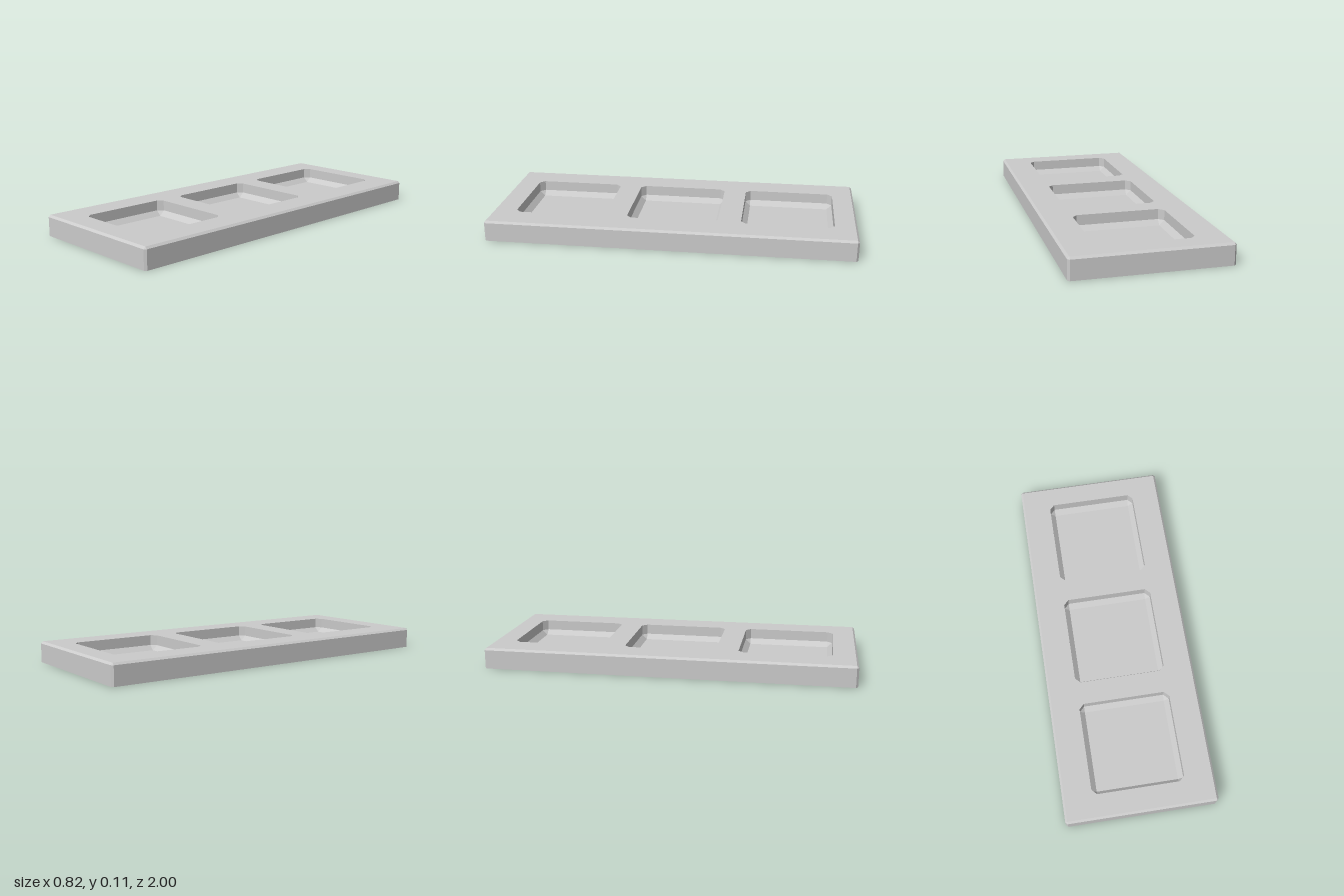
import * as THREE from 'three';

const material = new THREE.MeshStandardMaterial({ color: 0xcccccc, flatShading: true });

// Rectangle outline with its corners cut off by c, as eight points at height y
function outline(hx, hz, c, y, cz = 0) {
  return [
    [hx, c - hz], [hx, hz - c], [hx - c, hz], [c - hx, hz],
    [-hx, hz - c], [-hx, c - hz], [c - hx, -hz], [hx - c, -hz],
  ].map(([x, z]) => new THREE.Vector3(x, y, z + cz));
}

// Flat-shaded walls through successive outlines, skipping collapsed triangles
function walls(loops) {
  const points = [];
  const add = (p, q, r) => {
    if (new THREE.Triangle(p, q, r).getArea() > 1e-9) points.push(p, q, r);
  };
  for (let k = 0; k < loops.length - 1; k++) {
    const a = loops[k], b = loops[k + 1];
    for (let i = 0; i < a.length; i++) {
      const j = (i + 1) % a.length;
      add(a[i], b[i], a[j]);
      add(a[j], b[i], b[j]);
    }
  }
  const geometry = new THREE.BufferGeometry().setFromPoints(points);
  geometry.computeVertexNormals();
  return geometry;
}

// Horizontal face filling an outline, optionally with openings
function face(loop, up, holes = []) {
  const s = up ? -1 : 1;
  const flat = (l) => l.map((p) => new THREE.Vector2(p.x, s * p.z));
  const shape = new THREE.Shape(flat(loop));
  shape.holes = holes.map((h) => new THREE.Path(flat(h)));
  return new THREE.ShapeGeometry(shape).rotateX(s * Math.PI / 2).translate(0, loop[0].y, 0);
}

// Plain four-cornered outline for faces
const rectangle = (hx, hz, y, cz = 0) =>
  outline(hx, hz, 0, y, cz).filter((p, i) => i % 2 === 0);

export function createModel() {
  const group = new THREE.Group();
  const add = (name, geometry, parent = group) => {
    const mesh = new THREE.Mesh(geometry, material);
    mesh.name = name;
    parent.add(mesh);
  };

  const height = 0.114, halfX = 0.41, halfZ = 1, edge = 0.011;
  const pocketHalf = 0.25, bevel = 0.027, floorY = 0.031;
  const pocketCentres = [-0.63, -0.005, 0.62];

  // Slab sides with chamfered corners and upper edge
  const base = outline(halfX, halfZ, edge, 0);
  add('slabSides', walls([
    base,
    outline(halfX, halfZ, edge, height - edge),
    outline(halfX - edge, halfZ - edge, 0, height),
  ]));
  add('slabUnderside', face(base, false));

  // Top face with three openings
  const rims = pocketCentres.map((z) => outline(pocketHalf, pocketHalf, bevel, height, z));
  add('slabTop', face(rectangle(halfX - edge, halfZ - edge, height), true, rims));

  // Square pockets with a bevel around the floor
  pocketCentres.forEach((z, i) => {
    const pocket = new THREE.Group();
    pocket.name = `pocket${i + 1}`;
    const inner = pocketHalf - bevel;
    add('pocketWalls', walls([
      rims[i],
      outline(pocketHalf, pocketHalf, bevel, floorY + bevel, z),
      outline(inner, inner, 0, floorY, z),
    ]), pocket);
    add('pocketFloor', face(rectangle(inner, inner, floorY, z), true), pocket);
    group.add(pocket);
  });

  return group;
}
